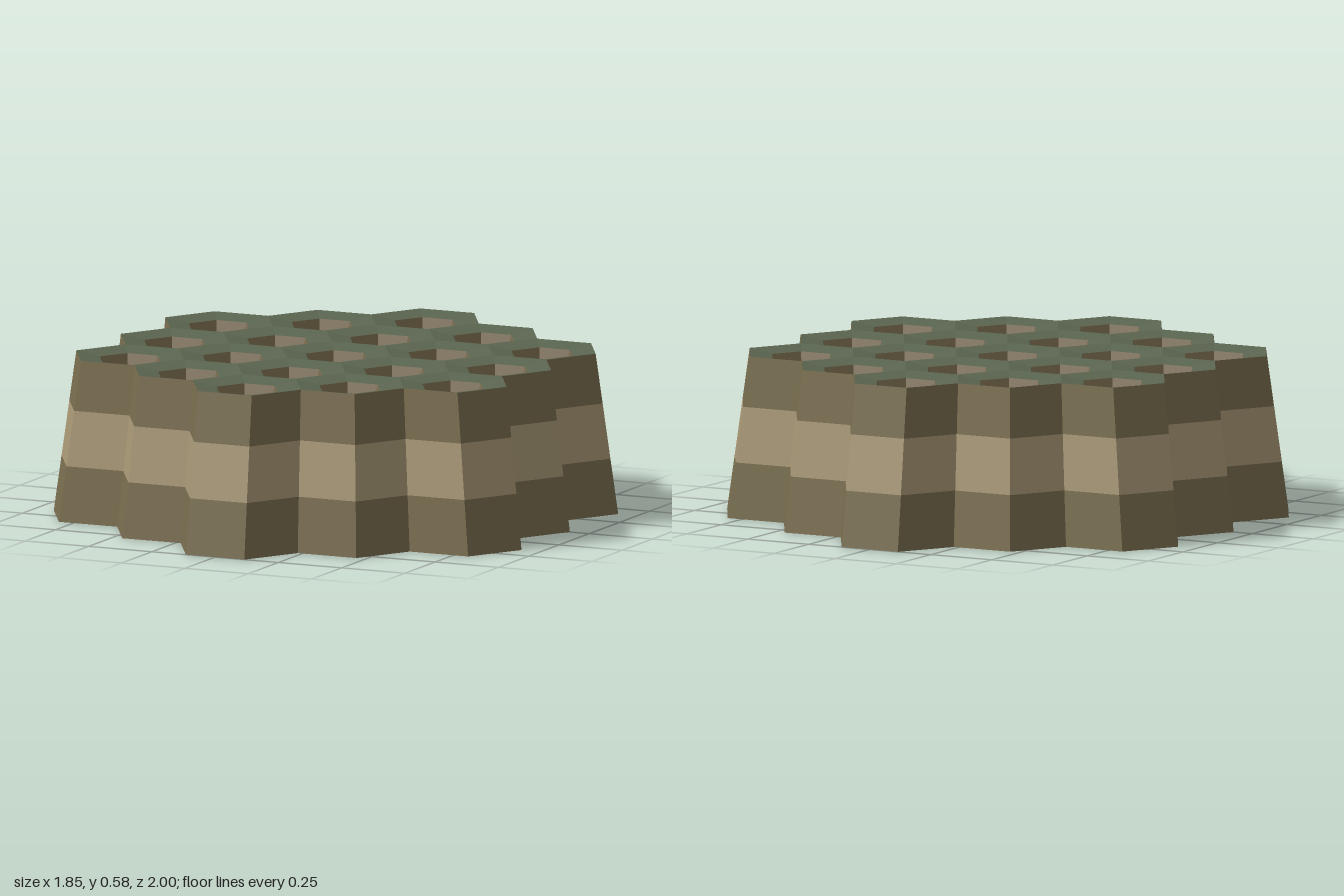
import * as THREE from 'three';

const HEIGHT = 0.58, APOTHEM = 0.2, R = APOTHEM * 2 / Math.sqrt(3), TOP_SCALE = 0.92;
const scaleAt = (y) => 1 - (1 - TOP_SCALE) * y / HEIGHT;

// Centres of the 19 cells: a hexagon of hexagons
const cells = [];
for (let q = -2; q <= 2; q++)
  for (let r = -2; r <= 2; r++)
    if (Math.abs(q + r) <= 2) cells.push([q * 1.5 * R, (r + q / 2) * 2 * APOTHEM]);

// Corner k of a hexagon of the given radius in a cell whose centre is scaled by s
function corner([cx, cz], k, { radius, y, s }) {
  const a = k * Math.PI / 3;
  return [cx * s + radius * Math.cos(a), y, cz * s + radius * Math.sin(a)];
}

// One side of a hexagonal band running from ring a to ring b
function side(out, cell, k, a, b) {
  const a0 = corner(cell, k, a), a1 = corner(cell, k + 1, a);
  const b0 = corner(cell, k, b), b1 = corner(cell, k + 1, b);
  if (a.radius > 0) out.push(...a1, ...a0, ...b0);
  if (b.radius > 0) out.push(...a1, ...b0, ...b1);
}

// Full-size cell ring at height y
const outer = (y) => ({ radius: R * scaleAt(y), y, s: scaleAt(y) });
// Ring inside the pit
const inner = (radius, y) => ({ radius, y, s: TOP_SCALE });

// True when no neighbouring cell lies across side k
function exposed([cx, cz], k) {
  const a = (k + 0.5) * Math.PI / 3;
  const x = cx + 2 * APOTHEM * Math.cos(a), z = cz + 2 * APOTHEM * Math.sin(a);
  return !cells.some((c) => Math.hypot(c[0] - x, c[1] - z) < 0.05);
}

function part(name, material, a, b, onlyExposed = false) {
  const out = [];
  for (const cell of cells)
    for (let k = 0; k < 6; k++)
      if (!onlyExposed || exposed(cell, k)) side(out, cell, k, a, b);
  const geometry = new THREE.BufferGeometry();
  geometry.setAttribute('position', new THREE.Float32BufferAttribute(out, 3));
  geometry.computeVertexNormals();
  const mesh = new THREE.Mesh(geometry, material);
  mesh.name = name;
  return mesh;
}

function paint(name, color) {
  const m = new THREE.MeshStandardMaterial({ color });
  m.name = name;
  return m;
}

export function createModel() {
  const olive = paint('olive brown', 0x7a6e4f);
  const tan = paint('tan', 0xab9a77);
  const green = paint('moss green', 0x5a6550);
  const brown = paint('pit brown', 0x786a4d);

  const group = new THREE.Group();
  group.name = 'honeycombBlock';
  const rim = inner(0.12, HEIGHT - 0.015), floor = inner(0.045, 0.3);
  group.add(
    // Outer walls in three bands
    part('lowerWallBand', olive, outer(0), outer(0.2), true),
    part('middleWallBand', tan, outer(0.2), outer(0.4), true),
    part('upperWallBand', olive, outer(0.4), outer(HEIGHT), true),
    // Slightly dished cell tops with tapering pits
    part('cellTops', green, outer(HEIGHT), rim),
    part('pitWalls', brown, rim, floor),
    part('pitFloors', olive, floor, inner(0, 0.3)),
    // Flat underside
    part('underside', olive, { radius: 0, y: 0, s: 1 }, outer(0)),
  );
  return group;
}
